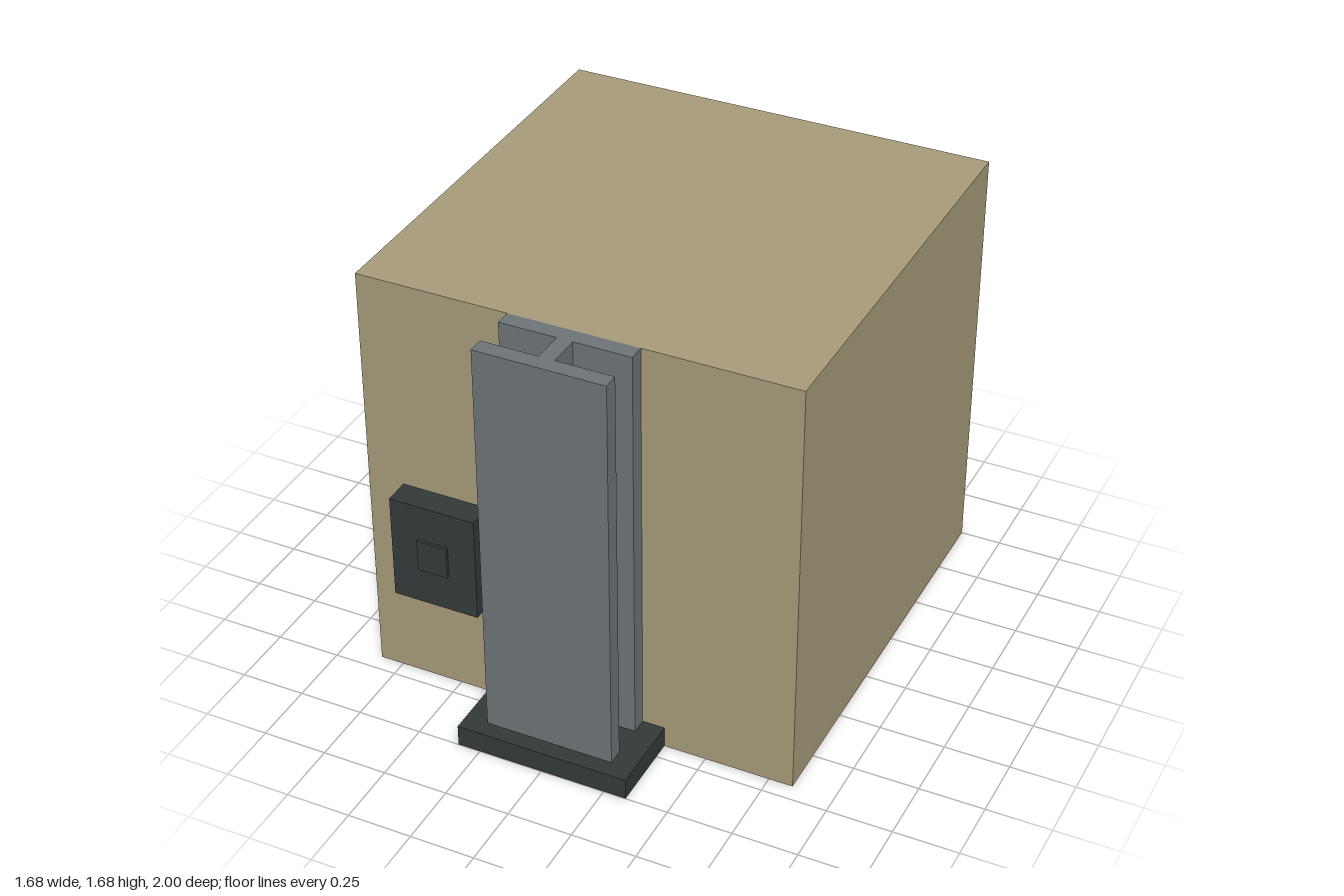
import * as THREE from 'three';

const material = (name, color) => {
  const m = new THREE.MeshStandardMaterial({ color });
  m.name = name;
  return m;
};

export function createModel() {
  const group = new THREE.Group();
  const tan = material('tan', 0xa89c7b);
  const steel = material('steel grey', 0x6e7578);
  const dark = material('dark grey', 0x343a3a);

  // Box given by its extents on each axis
  const box = (name, mat, [x0, x1], [y0, y1], [z0, z1]) => {
    const mesh = new THREE.Mesh(new THREE.BoxGeometry(x1 - x0, y1 - y0, z1 - z0), mat);
    mesh.position.set((x0 + x1) / 2, (y0 + y1) / 2, (z0 + z1) / 2);
    mesh.name = name;
    group.add(mesh);
  };

  const wall = 0.684, height = 1.684;
  box('wallBlock', tan, [-0.842, 0.842], [0, height], [-1, wall]);

  // I-beam column: H section extruded upwards, its rear flange against the wall
  const w = 0.25, web = 0.03, d = 0.126, f = 0.063;
  const half = [[w, -d], [w, -f], [web, -f], [web, f], [w, f], [w, d]];
  const outline = [...half, ...half.map(([x, y]) => [-x, y]).reverse()];
  const section = new THREE.Shape(outline.map(([x, y]) => new THREE.Vector2(x, y)));
  const beamGeometry = new THREE.ExtrudeGeometry(section, { depth: height, bevelEnabled: false });
  beamGeometry.rotateX(-Math.PI / 2);
  const beam = new THREE.Mesh(beamGeometry, steel);
  beam.name = 'beamColumn';
  beam.position.z = wall + d;
  group.add(beam);

  // Foot plate, a hair above the beam's lower end
  box('basePlate', dark, [-0.337, 0.337], [0.001, 0.085], [wall, 1]);

  // Wall-mounted control box with its raised button
  box('controlBox', dark, [-0.7, -0.36], [0.421, 0.842], [wall, 0.785]);
  box('controlButton', dark, [-0.59, -0.47], [0.57, 0.698], [0.785, 0.797]);

  return group;
}
